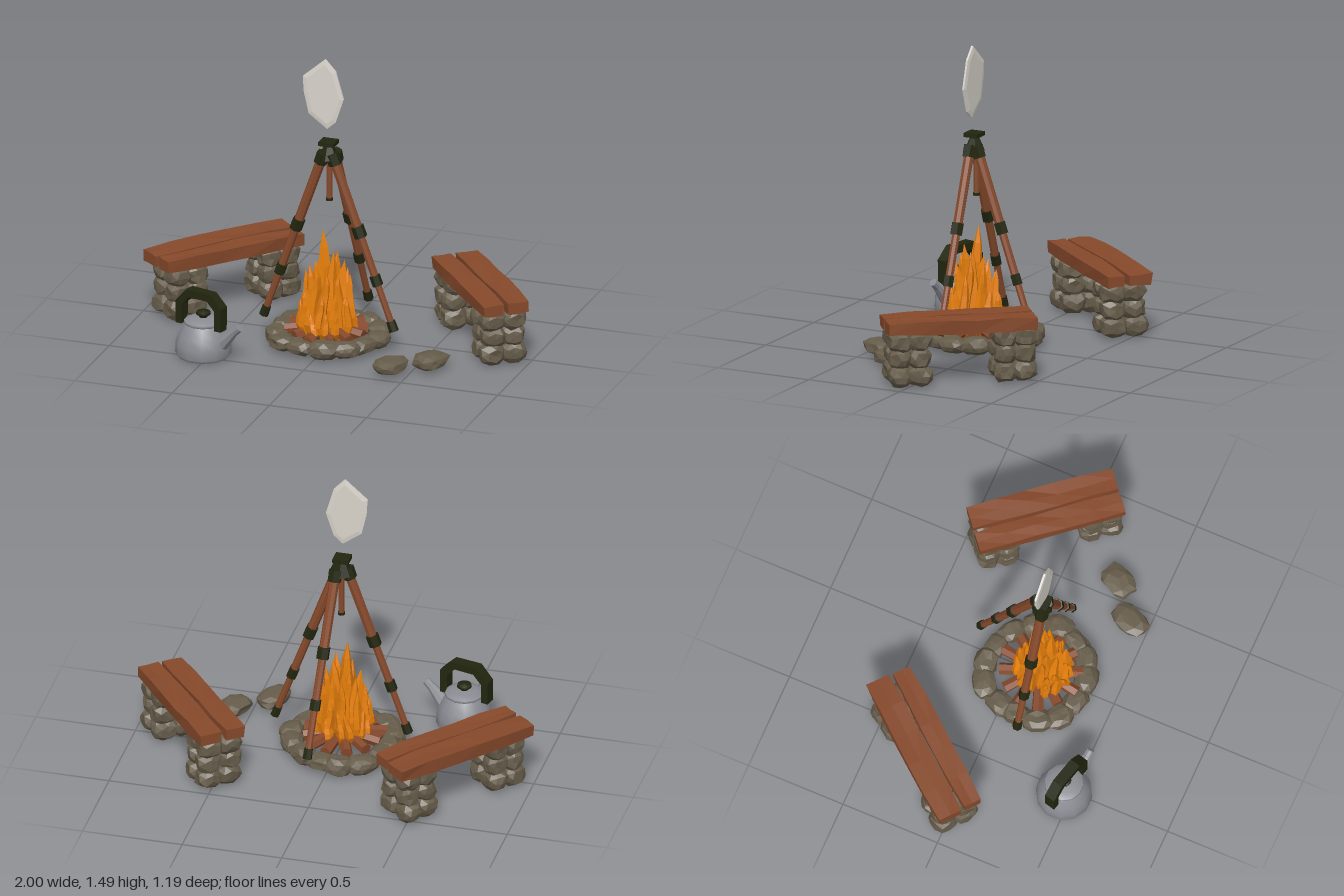
import * as THREE from 'three';

const mat = (name, color) => {
  const m = new THREE.MeshStandardMaterial({ color });
  m.name = name;
  return m;
};
const V = (x, y, z) => new THREE.Vector3(x, y, z);

export function createModel() {
  const wood = mat('wood', 0x86492b), stone = mat('stone', 0x665c4a), dark = mat('darkIron', 0x22260f);
  const flame = mat('flame', 0xe8800c), metal = mat('kettleMetal', 0x8a8c93), smoke = mat('smoke', 0xd9d4cb);

  // Seeded random numbers, and noise that is equal at equal positions
  let seed = 7;
  const rnd = () => (seed = (seed * 16807) % 2147483647) / 2147483647;
  const noise = (p, k) => {
    const r = (v) => Math.round(v * 1000);
    const s = Math.sin(r(p.x) * 12.99 + r(p.y) * 78.23 + r(p.z) * 37.72 + k * 3.17) * 4375.85;
    return s - Math.floor(s) - 0.5;
  };

  const add = (parent, name, geo, material) => {
    const m = new THREE.Mesh(geo, material);
    m.name = name;
    parent.add(m);
    return m;
  };
  const group = (parent, name) => {
    const g = new THREE.Group();
    g.name = name;
    parent.add(g);
    return g;
  };
  // Move every vertex by a rule, then shade flat
  const reshape = (geo, rule) => {
    const pos = geo.attributes.position, p = V(0, 0, 0);
    for (let i = 0; i < pos.count; i++) {
      rule(p.fromBufferAttribute(pos, i));
      pos.setXYZ(i, p.x, p.y, p.z);
    }
    const flat = geo.index ? geo.toNonIndexed() : geo;
    flat.computeVertexNormals();
    return flat;
  };
  // Blocky, uneven stone
  const rock = (parent, name, w, h, d, x, y, z, angle) => {
    const k = rnd() * 50;
    const geo = reshape(new THREE.IcosahedronGeometry(1, 1), (p) => {
      const n = 0.5 * (1 + 0.22 * noise(p, k));
      const len = Math.pow(p.x ** 4 + p.y ** 4 + p.z ** 4, 0.25);
      p.multiplyScalar(n / len);
      p.set(p.x * w, p.y * h, p.z * d);
    });
    const m = add(parent, name, geo, stone);
    m.position.set(x, y, z);
    m.rotation.y = angle;
    return m;
  };
  // Faceted rod between two points
  const rod = (parent, name, a, b, r0, r1, sides, material) => {
    const dir = b.clone().sub(a);
    const geo = new THREE.CylinderGeometry(r1, r0, dir.length(), sides).toNonIndexed();
    geo.computeVertexNormals();
    const m = add(parent, name, geo, material);
    m.position.copy(a).lerp(b, 0.5);
    m.quaternion.setFromUnitVectors(V(0, 1, 0), dir.normalize());
    return m;
  };

  const model = new THREE.Group();
  model.name = 'campfire';

  // Benches: two rough planks on two stacked stone piers
  const bench = (name, x, z, angle, planks) => {
    const g = group(model, name);
    g.position.set(x, 0, z);
    g.rotation.y = angle;
    for (const [off, shift, width, length] of planks) {
      const geo = reshape(new THREE.BoxGeometry(width, 0.066, length, 2, 1, 5), (p) => {
        const end = Math.abs(p.z) > length * 0.49;
        const s = p.clone();
        p.x = s.x * (end ? 0.92 : 1) + noise(s, 1) * 0.008;
        p.y = s.y * (end ? 0.85 : 1) + noise(s, 2) * 0.008;
        if (s.y < 0) p.x *= 0.94;
      });
      add(g, 'plank', geo, wood).position.set(off, 0.302, shift);
    }
    for (const end of [-0.265, 0.255]) {
      const pier = group(g, 'stonePier');
      for (let row = 0; row < 3; row++) {
        const grow = row === 1 ? 0.97 : 1.04;
        for (const sx of [-1, 1]) for (const sz of [-1, 1]) {
          rock(pier, 'pierStone', 0.118 * grow, 0.105, 0.108 * grow,
            sx * 0.053 + (rnd() - 0.5) * 0.012, 0.062 + row * 0.085, end + sz * 0.048, (rnd() - 0.5) * 0.2);
        }
      }
    }
  };
  bench('rightBench', -0.655, -0.215, Math.atan2(-0.64, 0.77), [[-0.062, 0, 0.128, 0.785], [0.064, 0, 0.1, 0.77]]);
  bench('leftBench', 0.68, -0.155, Math.atan2(0.64, 0.77), [[0.062, 0, 0.118, 0.735], [-0.066, 0, 0.108, 0.735]]);

  // Loose stones
  rock(model, 'looseStone', 0.13, 0.07, 0.18, 0.415, 0.05, 0.405, -0.4);
  rock(model, 'looseStone', 0.13, 0.07, 0.18, 0.575, 0.05, 0.275, -0.5);

  // Fire ring
  const ring = group(model, 'fireRing');
  ring.position.set(-0.015, 0, 0.095);
  for (let i = 0; i < 14; i++) {
    const a = (i / 14) * Math.PI * 2 + (rnd() - 0.5) * 0.1, r = 0.248 + (rnd() - 0.5) * 0.025;
    rock(ring, 'ringStone', 0.095 + rnd() * 0.02, 0.065 + rnd() * 0.025, 0.13 + rnd() * 0.015,
      Math.cos(a) * r, 0.055, Math.sin(a) * r, -a);
  }

  // Radial logs
  const logs = group(model, 'logs');
  logs.position.set(-0.01, 0, 0.11);
  for (let i = 0; i < 12; i++) {
    const a = ((i + 0.3) / 12) * Math.PI * 2, c = Math.cos(a), s = Math.sin(a);
    const r = 0.19 + rnd() * 0.025;
    rod(logs, 'log', V(c * r, 0.078, s * r), V(c * 0.05, 0.095, s * 0.05), 0.03, 0.026, 6, wood);
  }

  // Flames: pointed tongues that bulge outward and curl up
  const fire = group(model, 'fire');
  fire.position.set(-0.01, 0, 0.13);
  const tongue = (angle, r, lean, top, width) => {
    const base = 0.05, h = top - base, twist = (rnd() - 0.5) * 0.03;
    const geo = reshape(new THREE.CylinderGeometry(1, 1, 1, 5, 6), (p) => {
      const t = p.y + 0.5;
      const fat = width * (0.55 + 1.3 * t) * Math.pow(1 - t, 0.8) * 1.25;
      const out = r + lean * Math.sin(t * 2.3) + 0.012 * Math.sin(t * 7);
      p.set(p.x * fat + out, base + t * h, p.z * fat * 0.85 + twist * Math.sin(t * 5));
    });
    add(fire, 'flameTongue', geo, flame).rotation.y = angle;
  };
  tongue(2.8, 0.0, 0.03, 0.595, 0.045);
  for (const [count, r, lean, low, high, width] of [
    [5, 0.03, 0.02, 0.44, 0.53, 0.04], [8, 0.055, 0.03, 0.36, 0.46, 0.036],
    [11, 0.075, 0.045, 0.27, 0.39, 0.032], [13, 0.085, 0.05, 0.19, 0.3, 0.028]]) {
    for (let i = 0; i < count; i++) {
      tongue(((i + rnd() * 0.5) / count) * Math.PI * 2, r, lean, low + rnd() * (high - low), width);
    }
  }

  // Tripod: three telescoping legs with clamps
  const tripod = group(model, 'tripod');
  const leg = (name, a, b) => {
    const g = group(tripod, name);
    const at = (y) => a.clone().lerp(b, (a.y - y) / (a.y - b.y));
    rod(g, 'upperTube', at(0.61), a, 0.024, 0.025, 8, wood);
    rod(g, 'middleTube', at(0.37), at(0.61), 0.02, 0.02, 8, wood);
    rod(g, 'lowerTube', at(0.14), at(0.37), 0.017, 0.017, 8, wood);
    rod(g, 'collar', at(0.945), at(1.0), 0.034, 0.036, 6, dark);
    rod(g, 'clamp', at(0.585), at(0.64), 0.032, 0.032, 6, dark);
    rod(g, 'clamp', at(0.345), at(0.395), 0.027, 0.027, 6, dark);
    rod(g, 'foot', at(0.118), at(0.168), 0.024, 0.022, 6, dark);
  };
  leg('leftLeg', V(0.022, 0.98, 0.132), V(0.335, 0.12, 0.132));
  leg('rightLeg', V(-0.032, 0.98, 0.132), V(-0.335, 0.12, 0.132));
  leg('backLeg', V(0.02, 0.98, 0.09), V(0.075, 0.12, -0.238));
  rod(tripod, 'hub', V(-0.005, 0.97, 0.12), V(-0.005, 1.035, 0.12), 0.055, 0.025, 6, dark);
  rod(tripod, 'neck', V(-0.005, 1.02, 0.123), V(-0.005, 1.045, 0.123), 0.022, 0.022, 6, dark);
  add(tripod, 'topPlate', new THREE.BoxGeometry(0.08, 0.02, 0.075), dark).position.set(-0.005, 1.052, 0.123);
  rod(tripod, 'centreRod', V(-0.005, 0.76, 0.11), V(-0.005, 0.98, 0.11), 0.016, 0.016, 8, wood);
  rod(tripod, 'centreRodTip', V(-0.005, 0.748, 0.11), V(-0.005, 0.762, 0.11), 0.018, 0.018, 8, dark);

  // Smoke puff: thin pillowed plate
  const outline = [[-0.015, 1.49], [-0.13, 1.39], [-0.125, 1.31], [-0.1, 1.2], [-0.005, 1.13],
    [0.04, 1.17], [0.08, 1.29], [0.04, 1.43]].map(([x, y]) => new THREE.Vector2(x, y));
  const puff = new THREE.ExtrudeGeometry(new THREE.Shape(outline), {
    depth: 0.01, bevelThickness: 0.004, bevelSize: 0.02, bevelOffset: -0.02, bevelSegments: 1 });
  add(model, 'smokePuff', puff, smoke).position.z = 0.134;

  // Kettle
  const kettle = group(model, 'kettle');
  kettle.position.set(-0.528, 0, 0.465);
  kettle.rotation.y = -0.25;
  const lathe = (name, pts, material) => add(kettle, name,
    new THREE.LatheGeometry(pts.map(([x, y]) => new THREE.Vector2(x, y)), 12), material);
  lathe('body', [[0.125, 0.005], [0.137, 0.02], [0.136, 0.07], [0.122, 0.115], [0.1, 0.155], [0.088, 0.172]], metal);
  lathe('base', [[0, 0.006], [0.126, 0.006]], dark);
  lathe('lid', [[0.088, 0.17], [0.096, 0.176], [0.094, 0.188], [0.06, 0.198], [0, 0.205]], metal);
  lathe('knob', [[0.018, 0.198], [0.022, 0.21], [0.036, 0.218], [0.034, 0.232], [0, 0.238]], dark);
  rod(kettle, 'spout', V(0.095, 0.075, 0), V(0.185, 0.17, 0), 0.042, 0.022, 8, metal);
  rod(kettle, 'spoutLip', V(0.175, 0.158, 0), V(0.212, 0.19, 0), 0.022, 0.02, 8, metal);

  // Kettle handle: arched strap
  const strap = new THREE.Shape([[-0.135, 0.16], [-0.1, 0.16], [-0.098, 0.26], [-0.055, 0.305], [0.048, 0.305],
    [0.09, 0.262], [0.092, 0.16], [0.128, 0.16], [0.13, 0.28], [0.068, 0.342], [-0.072, 0.345], [-0.135, 0.275],
  ].map(([x, y]) => new THREE.Vector2(x, y)));
  add(kettle, 'handle', new THREE.ExtrudeGeometry(strap, { depth: 0.055, bevelEnabled: false }), dark)
    .position.set(0, 0, -0.012);

  return model;
}
